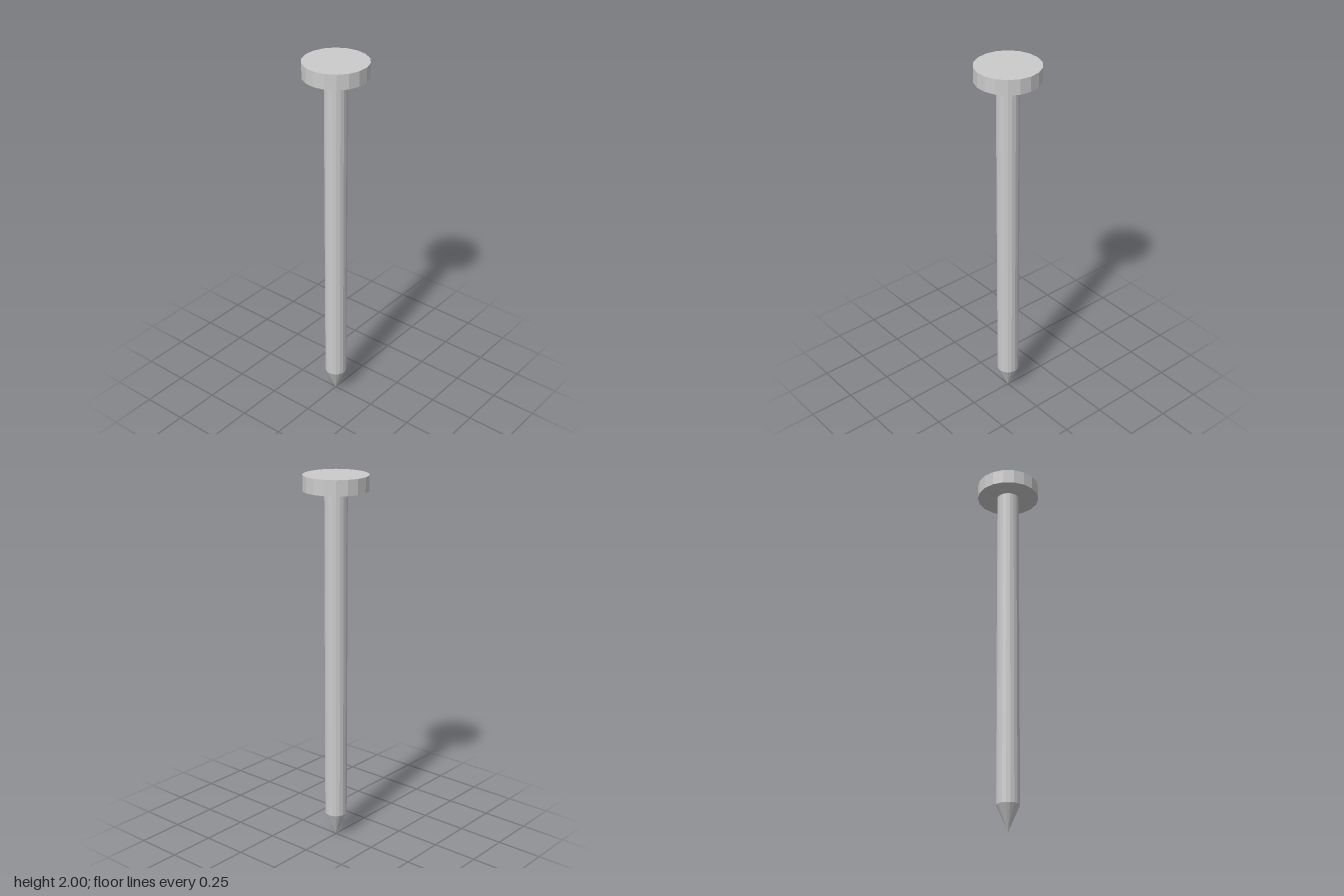
import * as THREE from 'three';

export function createModel() {
  const nail = new THREE.Group();
  nail.name = 'nail';
  const material = new THREE.MeshStandardMaterial({ color: 0xcccccc, flatShading: true });
  const SIDES = 18;

  // One round section between two heights
  function addSection(name, topRadius, bottomRadius, y0, y1, open) {
    const geometry = new THREE.CylinderGeometry(topRadius, bottomRadius, y1 - y0, SIDES, 1, open);
    geometry.translate(0, (y0 + y1) / 2, 0);
    const mesh = new THREE.Mesh(geometry, material);
    mesh.name = name;
    nail.add(mesh);
  }

  // Flat disc head
  addSection('head', 0.17, 0.17, 1.92, 2, false);
  // Long straight shank
  addSection('shank', 0.06, 0.06, 0.135, 1.92, true);
  // Sharp conical point
  addSection('point', 0.06, 0, 0, 0.135, true);

  return nail;
}
